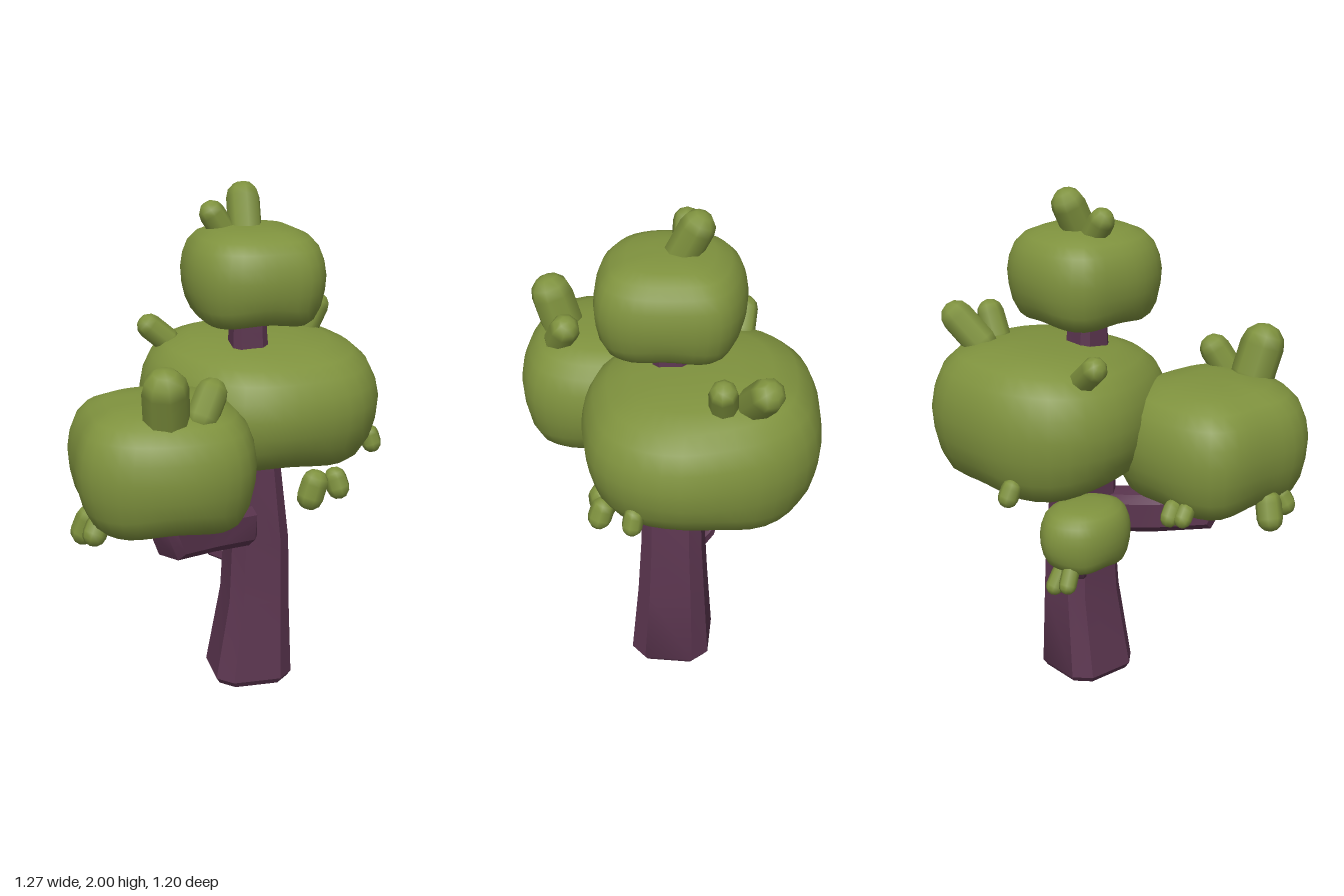
import * as THREE from 'three';
import { toCreasedNormals } from 'three/addons/utils/BufferGeometryUtils.js';

const V = (a) => new THREE.Vector3(a[0], a[1], a[2]);
const leafGreen = new THREE.MeshStandardMaterial({ color: 0x7f923e });
leafGreen.name = 'leafGreen';
const barkPurple = new THREE.MeshStandardMaterial({ color: 0x5c3650 });
barkPurple.name = 'barkPurple';

// Skin a stack of closed rings (first ring at the top) and cap both ends
function loft(rings, crease) {
  const n = rings[0].length;
  const centre = (r) => r.reduce((s, p) => s.add(p), new THREE.Vector3()).divideScalar(n);
  const all = [rings[0].map(() => centre(rings[0])), ...rings,
    rings[0].map(() => centre(rings[rings.length - 1]))];
  const pos = [];
  const tri = (...pts) => pts.forEach((p) => pos.push(p.x, p.y, p.z));
  for (let i = 0; i < all.length - 1; i++) {
    for (let j = 0; j < n; j++) {
      const k = (j + 1) % n;
      const a = all[i][j], b = all[i][k], c = all[i + 1][j], d = all[i + 1][k];
      if (i > 0) tri(a, b, c);
      if (i < all.length - 2) tri(b, d, c);
    }
  }
  const g = new THREE.BufferGeometry();
  g.setAttribute('position', new THREE.Float32BufferAttribute(pos, 3));
  return toCreasedNormals(g, crease);
}

function add(parent, name, geometry, material) {
  const mesh = new THREE.Mesh(geometry, material);
  mesh.name = name;
  parent.add(mesh);
  return mesh;
}

// Woody limb: chamfered square section swept along [x, y, z, halfWidth, halfDepth]
const SECTION = [[1, -0.62], [1, 0.62], [0.62, 1], [-0.62, 1], [-1, 0.62], [-1, -0.62], [-0.62, -1], [0.62, -1]];
function limb(path, side, fixedTangent) {
  const rings = path.map((p, i) => {
    const t = fixedTangent || V(path[Math.min(i + 1, path.length - 1)])
      .sub(V(path[Math.max(i - 1, 0)])).normalize();
    const up = side.clone().cross(t).normalize();
    return SECTION.map(([u, v]) => V(p).addScaledVector(side, u * p[3]).addScaledVector(up, v * p[4]));
  });
  return loft(rings.reverse(), 0.6);
}

// Foliage clump: plan outline scaled by a mushroom-like profile with a hollow underside
const PROFILE = [[0.3, 0.99], [0.58, 0.93], [0.78, 0.8], [0.9, 0.6], [0.97, 0.32], [1, 0.02], [0.985, -0.3],
  [0.94, -0.6], [0.86, -0.86], [0.78, -0.97], [0.7, -0.95], [0.58, -0.78], [0.3, -0.66]];
function clump({ outline, y0, y1, taper = 0 }) {
  const curve = new THREE.CatmullRomCurve3(outline.map(([x, z]) => new THREE.Vector3(x, 0, z)), true);
  const pts = curve.getSpacedPoints(40).slice(0, 40);
  const box = new THREE.Box3().setFromPoints(pts);
  const c = box.getCenter(new THREE.Vector3());
  const halfZ = (box.max.z - box.min.z) / 2;
  const h = (y1 - y0) / 2;
  const rings = PROFILE.map(([r, y]) => pts.map((p) => {
    const q = p.clone().sub(c).multiplyScalar(r);
    const angle = Math.atan2(q.z, q.x);
    // corners of the rim droop a little
    const droop = y < -0.5 ? 0.06 * r * Math.cos(4 * angle) : 0;
    q.y = h * (y + droop) * (1 - taper * q.z / halfZ);
    return q.add(c).setY(q.y + (y0 + y1) / 2);
  }));
  return loft(rings, 1.1);
}

const CLUMPS = {
  topFoliage: { y0: 1.5, y1: 1.85, outline: [[-0.14, -0.1], [-0.11, -0.22], [0, -0.295], [0.22, -0.3], [0.33, -0.24],
    [0.37, -0.1], [0.37, 0.1], [0.31, 0.2], [0.2, 0.23], [0.03, 0.23], [-0.08, 0.17], [-0.14, 0.05]] },
  mainFoliage: { y0: 0.92, y1: 1.41, taper: 0.12, outline: [[-0.28, -0.2], [-0.23, -0.42], [-0.05, -0.56],
    [0.2, -0.6], [0.37, -0.58], [0.52, -0.45], [0.6, -0.27], [0.635, -0.1], [0.6, 0.07], [0.5, 0.2],
    [0.33, 0.265], [0.12, 0.29], [-0.04, 0.24], [-0.2, 0.04]] },
  sideFoliage: { y0: 0.84, y1: 1.29, outline: [[-0.6, 0.02], [-0.51, -0.06], [-0.35, -0.1], [-0.15, -0.09], [0, 0.02],
    [0.04, 0.25], [0.03, 0.4], [-0.03, 0.52], [-0.12, 0.57], [-0.25, 0.595], [-0.4, 0.58], [-0.52, 0.53],
    [-0.61, 0.42], [-0.62, 0.25]] },
  smallFoliage: { y0: 0.59, y1: 0.83, outline: [[-0.22, -0.2], [-0.19, -0.32], [-0.07, -0.39], [0.05, -0.32],
    [0.08, -0.2], [0.05, -0.06], [-0.07, 0], [-0.18, -0.07]] },
};

// Leaf buds: start, end, radius
const BUDS = [
  // crown
  [[0.1, 1.82, -0.07], [0.105, 1.935, -0.125], 0.065],
  [[0.02, 1.82, -0.08], [-0.025, 1.89, -0.078], 0.05],
  // top of the main clump
  [[0.37, 1.39, -0.35], [0.445, 1.485, -0.4], 0.065],
  [[0.4, 1.39, -0.25], [0.44, 1.475, -0.25], 0.053],
  [[-0.16, 1.36, -0.28], [-0.23, 1.42, -0.285], 0.05],
  // rim of the main clump
  [[0.31, 0.89, 0.2], [0.295, 0.84, 0.2], 0.055],
  [[0.395, 0.9, 0.19], [0.405, 0.865, 0.2], 0.045],
  [[0.575, 1.02, 0.05], [0.585, 0.985, 0.055], 0.038],
  [[-0.05, 0.97, -0.53], [-0.05, 0.94, -0.545], 0.038],
  // top of the side clump
  [[-0.31, 1.27, 0.44], [-0.32, 1.38, 0.475], 0.085],
  [[-0.18, 1.26, 0.43], [-0.14, 1.335, 0.4], 0.06],
  // rim of the side clump
  [[-0.57, 0.86, 0.28], [-0.59, 0.805, 0.27], 0.05],
  [[-0.55, 0.86, 0.36], [-0.565, 0.83, 0.37], 0.045],
  [[-0.41, 0.88, -0.06], [-0.415, 0.85, -0.08], 0.036],
  [[-0.46, 0.88, -0.04], [-0.465, 0.855, -0.06], 0.034],
  // rim of the small clump
  [[-0.13, 0.6, -0.32], [-0.14, 0.55, -0.345], 0.034],
  [[-0.08, 0.58, -0.33], [-0.08, 0.53, -0.36], 0.034],
];

function bud(a, b, radius) {
  const axis = V(b).sub(V(a));
  const g = new THREE.CapsuleGeometry(radius, axis.length(), 3, 8);
  g.applyQuaternion(new THREE.Quaternion().setFromUnitVectors(new THREE.Vector3(0, 1, 0), axis.clone().normalize()));
  const mid = V(a).addScaledVector(axis, 0.5);
  return g.translate(mid.x, mid.y, mid.z);
}

export function createModel() {
  const tree = new THREE.Group();
  tree.name = 'tree';

  // Trunk, bulging at the foot and narrowing to the crown
  add(tree, 'trunk', limb([
    [0.115, 0, -0.045, 0.14, 0.14], [0.115, 0.025, -0.045, 0.155, 0.155], [0.14, 0.35, -0.05, 0.122, 0.132],
    [0.145, 0.6, -0.05, 0.115, 0.118], [0.125, 0.9, -0.045, 0.1, 0.112], [0.11, 1.2, -0.045, 0.08, 0.085],
    [0.105, 1.45, -0.04, 0.065, 0.065], [0.105, 1.65, -0.04, 0.06, 0.06],
  ], new THREE.Vector3(1, 0, 0), new THREE.Vector3(0, 1, 0)), barkPurple);

  // Bent branch holding the side clump
  add(tree, 'branch', limb([
    [0.075, 0.69, 0.03, 0.065, 0.07], [0.06, 0.69, 0.045, 0.075, 0.08], [-0.1, 0.715, 0.14, 0.075, 0.077],
    [-0.25, 0.745, 0.255, 0.075, 0.08], [-0.275, 0.82, 0.275, 0.072, 0.07], [-0.275, 1, 0.275, 0.065, 0.06],
  ], new THREE.Vector3(0.62, 0, 0.78).normalize()), barkPurple);

  // Thin twig holding the small clump
  add(tree, 'twig', limb([
    [0.07, 0.48, -0.13, 0.028, 0.028], [0, 0.5, -0.175, 0.028, 0.028],
    [-0.025, 0.54, -0.19, 0.026, 0.026], [-0.05, 0.7, -0.195, 0.024, 0.024],
  ], new THREE.Vector3(-0.6, 0, 0.8)), barkPurple);

  for (const [name, spec] of Object.entries(CLUMPS)) add(tree, name, clump(spec), leafGreen);

  const buds = new THREE.Group();
  buds.name = 'leafBuds';
  BUDS.forEach(([a, b, r], i) => add(buds, `leafBud${i + 1}`, bud(a, b, r), leafGreen));
  tree.add(buds);
  return tree;
}
